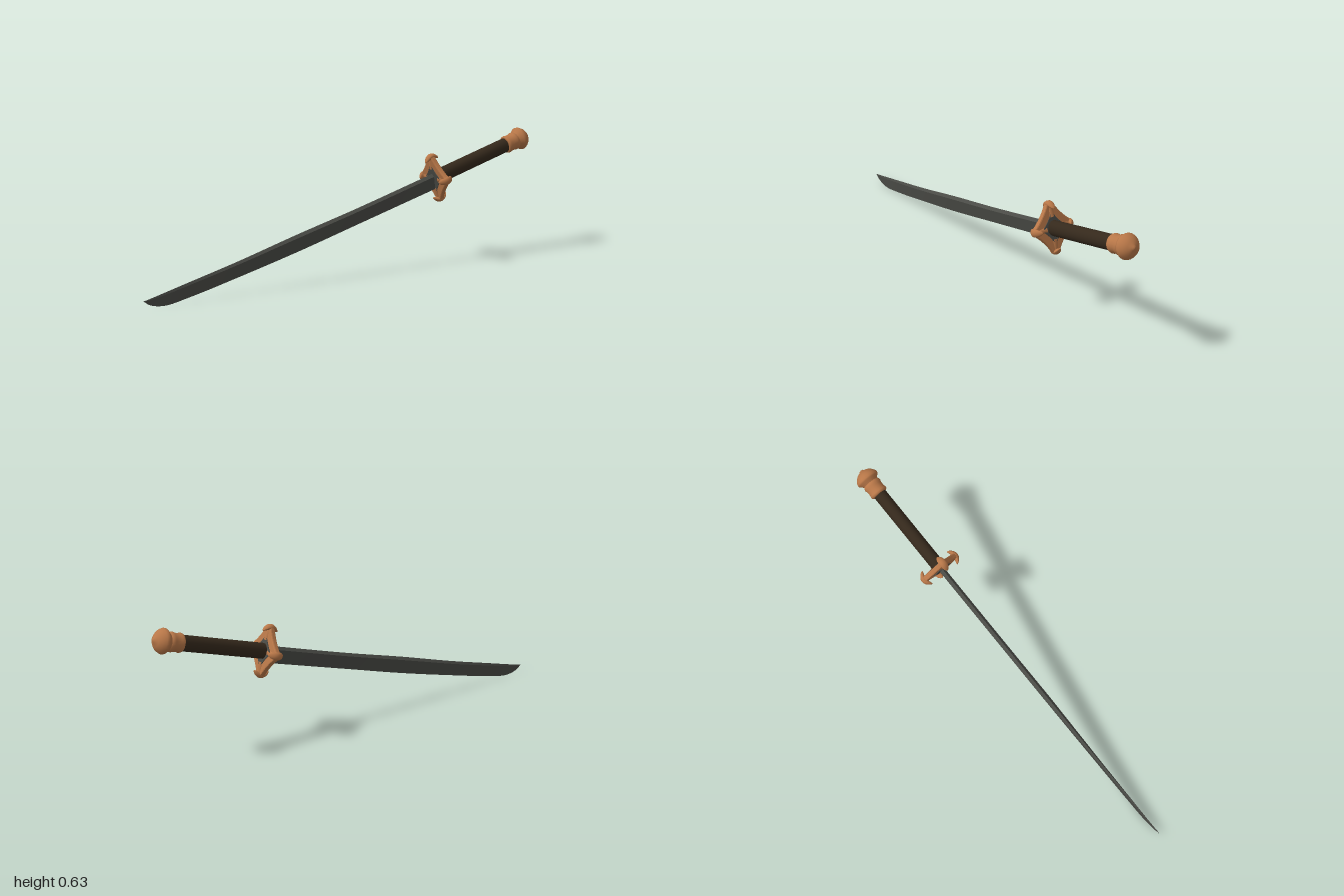
import * as THREE from 'three';

const mat = (name, color) => {
  const m = new THREE.MeshStandardMaterial({ color });
  m.name = name;
  return m;
};

export function createModel() {
  const steel = mat('dark steel', 0x4a4b46);
  const copper = mat('copper', 0xb87748);
  const leather = mat('dark leather', 0x35291c);

  // The sword's vertical plane is turned about y; the guard is the origin, the blade runs along +z
  const sword = new THREE.Group();
  sword.name = 'sword';
  sword.position.set(0.19, 0.427, -0.47);
  sword.rotation.y = -0.419;
  const hilt = new THREE.Group();
  hilt.name = 'hilt';
  hilt.rotation.x = 0.274;
  sword.add(hilt);

  const add = (parent, name, geometry, material) => {
    const mesh = new THREE.Mesh(geometry, material);
    mesh.name = name;
    parent.add(mesh);
    return mesh;
  };

  add(sword, 'blade', bladeGeometry(), steel);

  // Grip and pommel, turned about the hilt axis
  const grip = new THREE.CylinderGeometry(0.036, 0.036, 0.47, 20).rotateX(Math.PI / 2);
  grip.scale(0.9, 1.03, 1).translate(0, 0, -0.235);
  add(hilt, 'grip', grip, leather);

  const lathe = (points) =>
    new THREE.LatheGeometry(points.map(([r, h]) => new THREE.Vector2(r, h)), 20).rotateX(-Math.PI / 2);
  add(hilt, 'pommelCollar', lathe([
    [0, 0.455], [0.036, 0.455], [0.043, 0.459], [0.045, 0.468], [0.042, 0.476],
    [0.042, 0.5], [0.046, 0.508], [0.044, 0.52], [0.038, 0.528],
  ]), copper);
  add(hilt, 'pommelCap', lathe([
    [0.038, 0.522], [0.046, 0.534], [0.056, 0.542], [0.059, 0.55], [0.056, 0.56],
    [0.046, 0.575], [0.03, 0.588], [0.013, 0.594], [0.01, 0.599], [0, 0.601],
  ]), copper);

  // Guard: a diamond plate with hollowed sides
  const up = 0.108, side = 0.092;
  const diamond = (k) => {
    const s = new THREE.Shape();
    s.moveTo(0.014 * k, up * k);
    [[1, -1], [-1, -1], [-1, 1], [1, 1]].forEach(([sx, sy], i) => {
      const vertical = i % 2 === 0;
      const ex = vertical ? side : 0.014, ey = vertical ? 0.014 : up;
      const dirX = [1, 1, -1, -1][i], dirY = [1, -1, -1, 1][i];
      s.quadraticCurveTo(dirX * 0.046 * k, dirY * 0.052 * k, dirX * ex * k, dirY * ey * k);
      if (i < 3) s.lineTo([1, -1, -1][i] * ex * k, [-1, -1, 1][i] * ey * k);
    });
    return s;
  };
  const plate = new THREE.ExtrudeGeometry(diamond(1), {
    depth: 0.014, bevelThickness: 0.006, bevelSize: 0.006, bevelSegments: 2, curveSegments: 8,
  }).translate(0, 0, -0.007);
  add(hilt, 'guardPlate', plate, copper);

  // Thin steel inlays on both faces of the guard
  for (const z of [0.0125, -0.0165]) {
    const inlay = new THREE.ExtrudeGeometry(diamond(0.6), { depth: 0.004, bevelEnabled: false });
    add(hilt, 'guardInlay', inlay.translate(0, 0, z), steel);
  }

  // Four prongs, each ending in a crossbar that hooks back towards the middle
  for (let i = 0; i < 4; i++) {
    const prong = new THREE.Group();
    prong.name = 'guardProng';
    prong.rotation.z = i * Math.PI / 2;
    hilt.add(prong);
    const reach = i % 2 ? side : up;
    const stem = new THREE.CylinderGeometry(0.014, 0.02, 0.06, 10);
    add(prong, 'prongStem', stem.translate(0, reach - 0.025, 0), copper);
    const hook = new THREE.SphereGeometry(1, 12, 12).rotateX(Math.PI / 2).scale(0.019, 0.014, 0.04);
    const p = hook.attributes.position;
    for (let j = 0; j < p.count; j++) p.setY(j, p.getY(j) + reach + 0.006 - 12 * p.getZ(j) ** 2);
    hook.computeVertexNormals();
    add(prong, 'prongHook', hook, copper);
  }

  const model = new THREE.Group();
  model.name = 'model';
  model.add(sword);
  return model;
}

// Curved blade: a ridged spine, widest just below it, tapering to the cutting edge
function bladeGeometry() {
  const stations = [ // distance along, spine height, edge height
    [-0.01, 0.457, 0.373], [0.467, 0.326, 0.245], [0.8, 0.241, 0.156], [1.13, 0.152, 0.076],
    [1.37, 0.093, 0.022], [1.5, 0.061, 0.001], [1.57, 0.044, 0.014], [1.602, 0.037, 0.036],
  ];
  const curve = new THREE.CatmullRomCurve3(stations.map(([z, t, b]) => new THREE.Vector3(z, t - 0.427, b - 0.427)));
  const n = 42, pos = [], index = [];
  for (let i = 0; i <= n; i++) {
    const { x: z, y: t, z: b } = curve.getPoint(i / n);
    const half = 0.0135 * Math.min(1, 0.1 + (1.602 - z) / 0.9);
    const shoulder = t - (t - b) * 0.17;
    pos.push(0, t, z, -half, shoulder, z, 0, b, z, half, shoulder, z);
  }
  for (let i = 0; i < n; i++) {
    for (let j = 0; j < 4; j++) {
      const a = i * 4 + j, b = i * 4 + (j + 1) % 4;
      index.push(a, b, a + 4, b, b + 4, a + 4);
    }
  }
  index.push(0, 2, 1, 0, 3, 2, n * 4, n * 4 + 1, n * 4 + 2, n * 4, n * 4 + 2, n * 4 + 3);
  const g = new THREE.BufferGeometry();
  g.setAttribute('position', new THREE.Float32BufferAttribute(pos, 3));
  g.setIndex(index);
  const flat = g.toNonIndexed();
  flat.computeVertexNormals();
  return flat;
}
